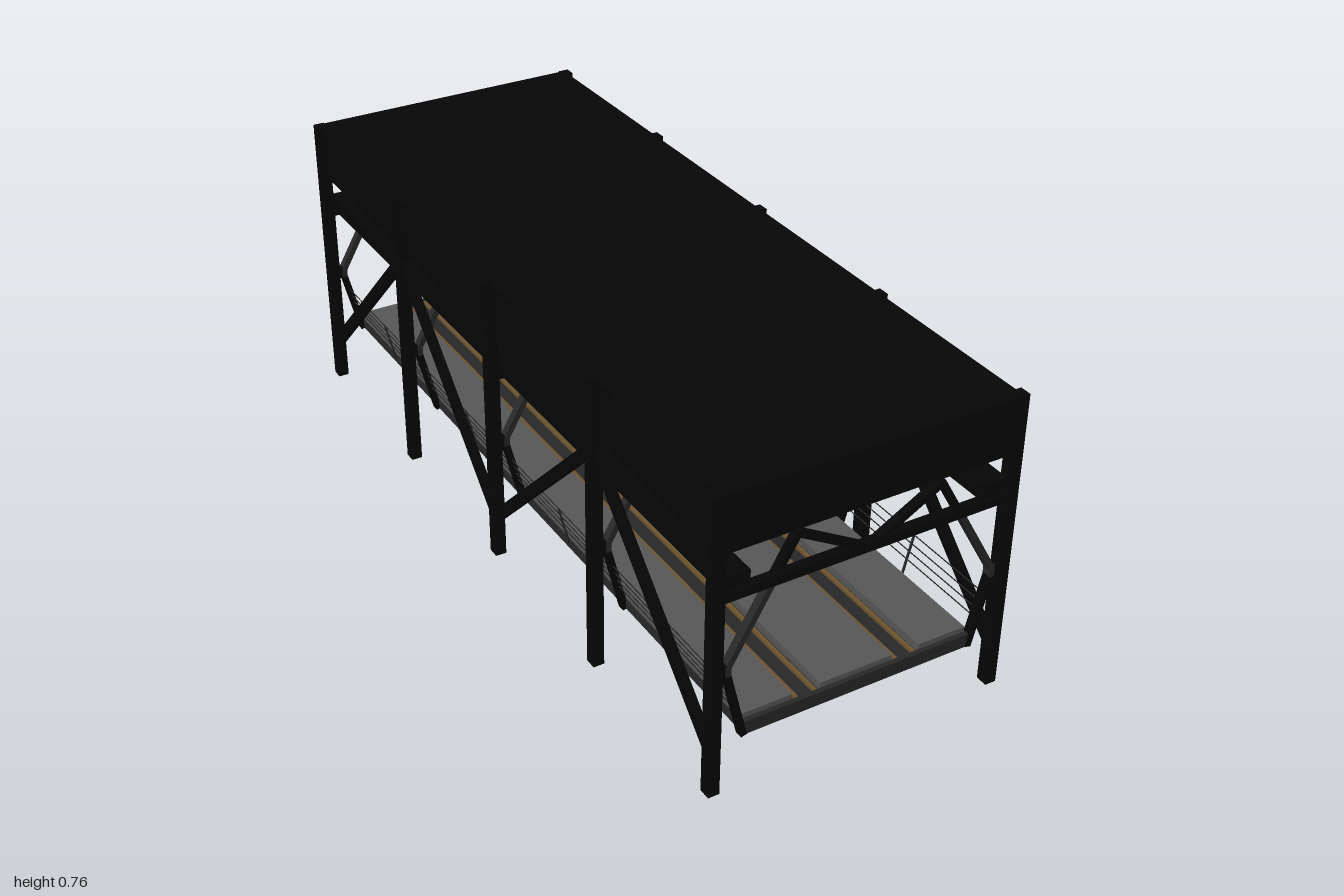
import * as THREE from 'three';

const mat = (name, color) => {
  const m = new THREE.MeshStandardMaterial({ color });
  m.name = name;
  return m;
};

export function createModel() {
  const black = mat('black steel', 0x060606);
  const dark = mat('dark grey', 0x282828);
  const under = mat('underside grey', 0x4b4b4b);
  const grey = mat('concrete grey', 0x585858);
  const brown = mat('rail brown', 0x6e5330);
  const model = new THREE.Group();
  model.name = 'coveredBridge';

  const box = (name, material, w, h, d, x, y, z) => {
    const mesh = new THREE.Mesh(new THREE.BoxGeometry(w, h, d), material);
    mesh.name = name;
    mesh.position.set(x, y, z);
    model.add(mesh);
    return mesh;
  };

  // Square bar running between two points
  const strut = (name, material, a, b, w, d) => {
    const p = new THREE.Vector3(...a), q = new THREE.Vector3(...b);
    const dir = q.clone().sub(p);
    const mid = p.clone().add(q).multiplyScalar(0.5);
    const mesh = box(name, material, w, dir.length(), d, mid.x, mid.y, mid.z);
    mesh.quaternion.setFromUnitVectors(new THREE.Vector3(0, 1, 0), dir.normalize());
  };

  const bays = [-0.985, -0.4925, 0, 0.4925, 0.985];
  const sides = [-1, 1];

  // Roof
  box('roof', black, 0.736, 0.141, 1.994, 0, 0.6885, 0);

  // Deck with end beams, raised platforms and sunken tracks
  box('deck', dark, 0.585, 0.024, 1.98, 0, 0.144, 0);
  box('deckUnderside', under, 0.583, 0.003, 1.978, 0, 0.1308, 0);
  box('centrePlatform', grey, 0.186, 0.021, 1.96, 0, 0.1665, 0);
  for (const s of sides) {
    box('endBeam', dark, 0.585, 0.034, 0.012, 0, 0.147, s * 0.986);
    box('sidePlatform', grey, 0.125, 0.021, 1.96, s * 0.2275, 0.1665, 0);
    for (const dx of [-0.024, 0.024]) {
      box('trackRail', brown, 0.01, 0.008, 1.958, s * 0.129 + dx, 0.159, 0);
    }
    for (const x of [0.093, 0.165]) {
      box('undersideSeam', dark, 0.003, 0.002, 1.97, s * x, 0.129, 0);
    }
  }

  // Portal frames with posts, cross beams and hangers
  for (const z of bays) {
    box('crossBeam', black, 0.71, 0.022, 0.024, 0, 0.508, z);
    for (const s of sides) {
      box('post', black, 0.028, 0.76, 0.03, s * 0.367, 0.38, z);
      box('postBracket', black, 0.016, 0.03, 0.02, s * 0.349, 0.32, z);
      box('hangerKnee', dark, 0.014, 0.03, 0.022, s * 0.337, 0.32, z);
      strut('lowerHanger', black, [s * 0.293, 0.13, z], [s * 0.338, 0.31, z], 0.015, 0.02);
      strut('upperHanger', dark, [s * 0.338, 0.325, z], [s * 0.235, 0.505, z], 0.015, 0.02);
      strut('hangerTip', black, [s * 0.235, 0.505, z], [s * 0.176, 0.608, z], 0.015, 0.02);
      strut('roofBrace', black, [s * 0.182, 0.605, z], [s * 0.01, 0.508, z], 0.015, 0.02);
    }
  }

  for (const s of sides) {
    // Long beam resting on the cross beams
    box('longBeam', black, 0.066, 0.037, 1.98, s * 0.322, 0.5365, 0);

    // Zigzag side bracing, low at the ends and middle
    for (let i = 0; i < 4; i++) {
      const yA = i % 2 ? 0.585 : 0.105;
      strut('sideBrace', black, [s * 0.366, yA, bays[i]], [s * 0.366, 0.69 - yA, bays[i + 1]], 0.018, 0.028);
    }

    // Railing leaning outward in line with the hangers
    const railX = (y) => s * (0.293 + (y - 0.13) * 0.247);
    for (const y of [0.2, 0.22, 0.24, 0.262]) {
      box('handRail', dark, 0.002, 0.002, 1.97, railX(y), y, 0);
    }
    for (const z of [-0.74, -0.246, 0.246, 0.74]) {
      strut('railPost', dark, [railX(0.155), 0.155, z], [railX(0.262), 0.262, z], 0.004, 0.005);
    }
  }

  return model;
}
